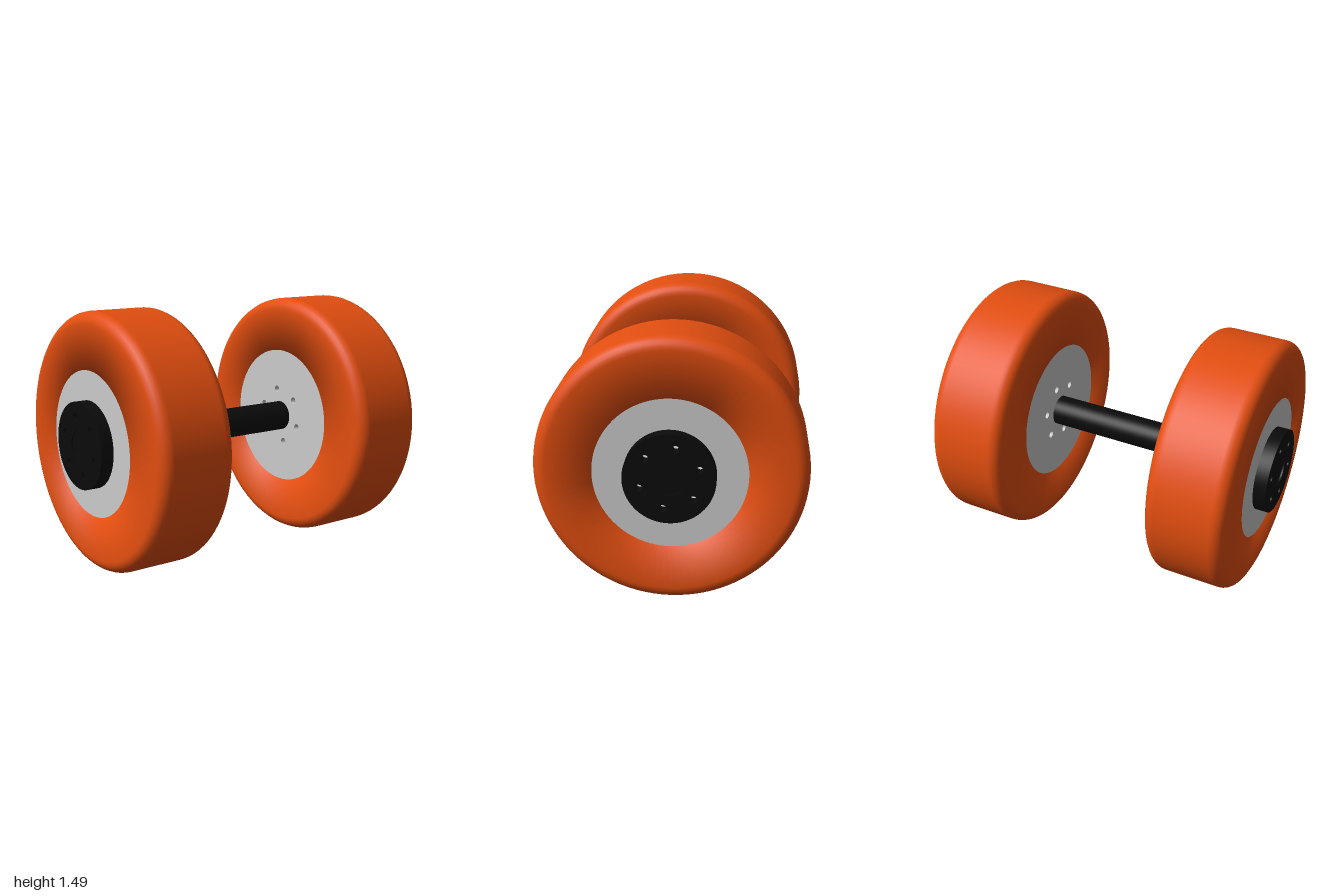
import * as THREE from 'three';
import { toCreasedNormals } from 'three/addons/utils/BufferGeometryUtils.js';

const RADIUS = 0.746, BORE = 0.42, CORNER = 0.07;
const INNER = 0.458, OUTER = 0.925, END = 1;      // distances along the axle
const AXLE_RADIUS = 0.09, BOLT_CIRCLE = 0.17, BOLT_RADIUS = 0.021;

const orange = new THREE.MeshStandardMaterial({ color: 0xe24e10 });
const black = new THREE.MeshStandardMaterial({ color: 0x0b0b0b });
const grey = new THREE.MeshStandardMaterial({ color: 0xcccccc });

function mesh(name, geometry, material) {
  const m = new THREE.Mesh(geometry, material);
  m.name = name;
  return m;
}

// Round plate from z0 to z1 with a centre hole and six bolt holes right through
function drilledPlate(radius, z0, z1, mirrored) {
  const shape = new THREE.Shape().absarc(0, 0, radius, 0, Math.PI * 2);
  const hole = (x, y, r) => shape.holes.push(new THREE.Path().absarc(x, y, r, 0, Math.PI * 2, true));
  hole(0, 0, AXLE_RADIUS);
  for (let i = 0; i < 6; i++) {
    // the far wheel is turned half round, so its pattern is reflected to stay in line
    const a = THREE.MathUtils.degToRad(101.6 + i * 60);
    hole(Math.cos(a) * BOLT_CIRCLE * (mirrored ? -1 : 1), Math.sin(a) * BOLT_CIRCLE, BOLT_RADIUS);
  }
  const g = new THREE.ExtrudeGeometry(shape, { depth: z1 - z0, bevelEnabled: false, curveSegments: 48 });
  g.translate(0, 0, z0);
  return toCreasedNormals(g, 0.6);
}

// Tyre ring with rounded shoulders and a soft-shaded bore edge
function tyreGeometry() {
  const half = (OUTER - INNER) / 2;
  const points = [new THREE.Vector2(BORE, 0), new THREE.Vector2(BORE, -half)];
  for (const [side, start] of [[-1, -Math.PI / 2], [1, 0]]) {
    for (let i = 0; i <= 6; i++) {
      const a = start + (i / 6) * Math.PI / 2;
      points.push(new THREE.Vector2(
        RADIUS - CORNER + Math.cos(a) * CORNER,
        side * (half - CORNER) + Math.sin(a) * CORNER));
    }
  }
  points.push(new THREE.Vector2(BORE, half), new THREE.Vector2(BORE, 0));
  const g = new THREE.LatheGeometry(points, 96);
  g.rotateX(Math.PI / 2);
  g.translate(0, 0, (INNER + OUTER) / 2);
  return g;
}

function createWheel(name, mirrored) {
  const wheel = new THREE.Group();
  wheel.name = name;
  wheel.add(
    mesh('tyre', tyreGeometry(), orange),
    mesh('rimDisc', drilledPlate(BORE, INNER, OUTER, mirrored), grey),
    mesh('hubCap', drilledPlate(0.25, OUTER, END, mirrored), black));
  if (mirrored) wheel.rotation.y = Math.PI;
  return wheel;
}

export function createModel() {
  const model = new THREE.Group();
  model.name = 'wheelset';

  // Axle runs through both wheels and ends just below the cap faces
  const axle = new THREE.CylinderGeometry(AXLE_RADIUS, AXLE_RADIUS, 2 * (END - 0.01), 48);
  axle.rotateX(Math.PI / 2);

  const assembly = new THREE.Group();
  assembly.name = 'wheelsAndAxle';
  assembly.add(
    mesh('axle', axle, black),
    createWheel('frontWheel', false),
    createWheel('backWheel', true));
  assembly.position.y = RADIUS;
  model.add(assembly);
  return model;
}
